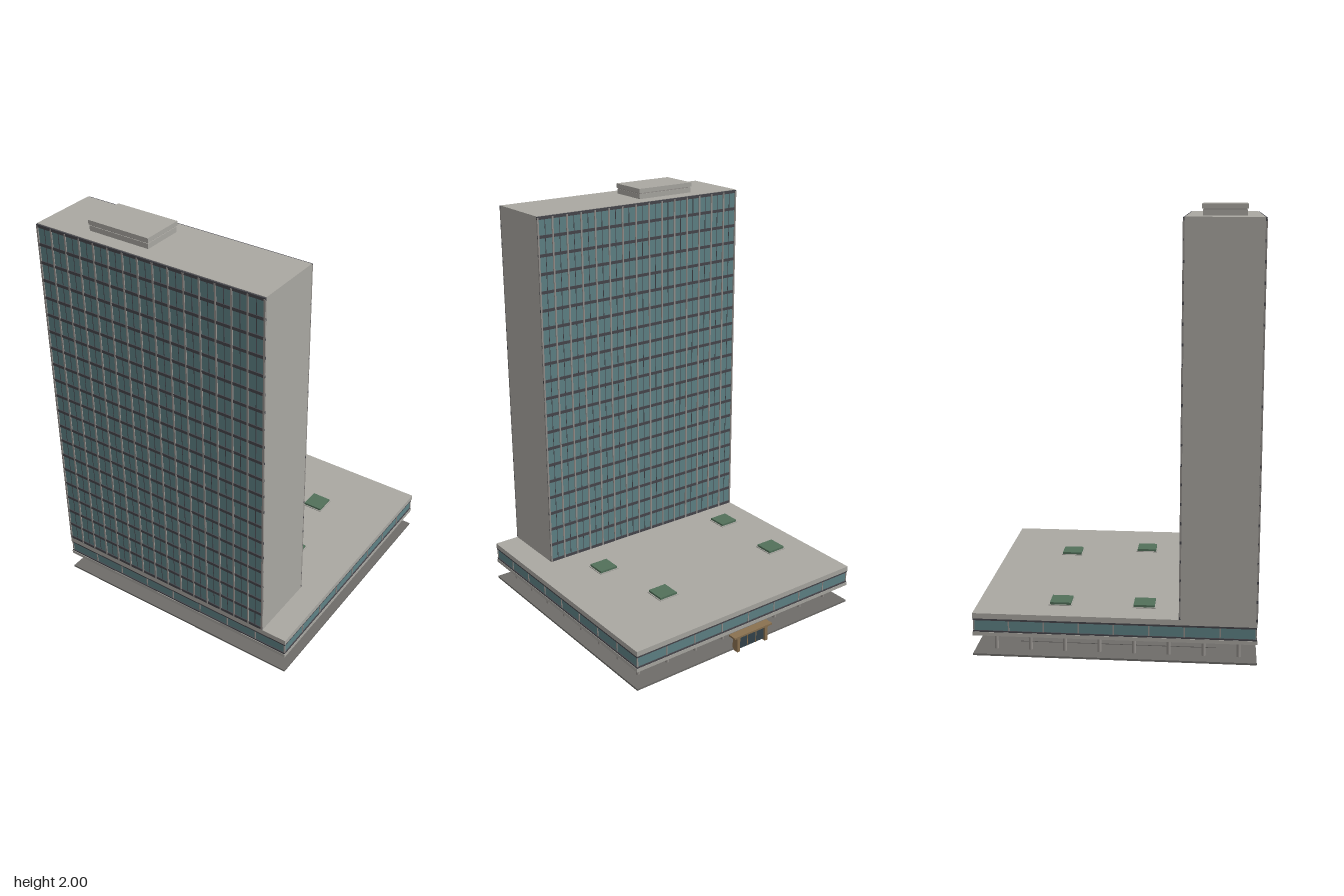
import * as THREE from 'three';

const mat = (color) => new THREE.MeshStandardMaterial({ color });

export function createModel() {
  const model = new THREE.Group();
  const concrete = mat(0xaaa8a2);
  const paving = mat(0x6e6c69);
  const glass = mat(0x5f8286);
  const frame = mat(0x46464c);
  const metal = mat(0x94908c);
  const wood = mat(0x8a7150);
  const darkGlass = mat(0x34434b);
  const green = mat(0x52705a);

  // Box given by its limits on each axis
  function box(parent, name, material, x0, x1, y0, y1, z0, z1) {
    const mesh = new THREE.Mesh(new THREE.BoxGeometry(x1 - x0, y1 - y0, z1 - z0), material);
    mesh.position.set((x0 + x1) / 2, (y0 + y1) / 2, (z0 + z1) / 2);
    mesh.name = name;
    parent.add(mesh);
    return mesh;
  }
  function group(name) {
    const g = new THREE.Group();
    g.name = name;
    model.add(g);
    return g;
  }

  const X = 0.645, ZB = -0.62, ZF = 0.65;

  // Ground plate and the inner floor
  box(model, 'groundPlate', paving, -X, X, 0, 0.009, ZB, ZF);
  box(model, 'innerFloor', paving, -0.49, 0.49, 0.009, 0.012, -0.43, 0.47);

  // Columns around the perimeter
  const columns = group('columns');
  const columnGeo = new THREE.CylinderGeometry(0.009, 0.009, 0.09, 12);
  const n = 8;
  for (let i = 0; i < n; i++) {
    for (let j = 0; j < n; j++) {
      if (i > 0 && i < n - 1 && j > 0 && j < n - 1) continue;
      const column = new THREE.Mesh(columnGeo, metal);
      column.name = 'column';
      column.position.set(-0.575 + (1.15 * i) / (n - 1), 0.053, -0.525 + (1.095 * j) / (n - 1));
      columns.add(column);
    }
  }

  // Podium: two slabs with a ribbon window between
  const podium = group('podium');
  box(podium, 'lowerSlab', concrete, -X, X, 0.095, 0.112, ZB, ZF);
  box(podium, 'roofSlab', concrete, -X, X, 0.175, 0.2, ZB, ZF);
  const inset = 0.006;
  box(podium, 'ribbonWindow', glass, -X + inset, X - inset, 0.112, 0.175, ZB + inset, ZF - inset);
  for (const [y0, y1] of [[0.112, 0.119], [0.166, 0.175]]) {
    box(podium, 'ribbonFrame', frame, -X + 0.002, X - 0.002, y0, y1, ZB + 0.002, ZF - 0.002);
  }
  for (let i = 0; i <= 8; i++) {
    const x = -X + 0.006 + ((2 * X - 0.012) * i) / 8;
    const z = ZB + 0.006 + ((ZF - ZB - 0.012) * i) / 8;
    for (const s of [ZB + 0.006, ZF - 0.006]) {
      box(podium, 'ribbonMullion', metal, x - 0.003, x + 0.003, 0.119, 0.166, s - 0.003, s + 0.003);
    }
    for (const s of [-X + 0.006, X - 0.006]) {
      box(podium, 'ribbonMullion', metal, s - 0.003, s + 0.003, 0.119, 0.166, z - 0.003, z + 0.003);
    }
  }

  // Tower core with blank end walls
  const tower = group('tower');
  const TL = -X, TR = 0.52, TY0 = 0.2, TY1 = 1.95;
  box(tower, 'towerBody', concrete, TL, TR, TY0, TY1, 0.312, 0.643);

  // Curtain walls on the front and back of the tower
  const floors = 20, bays = 15;
  for (const [wall, dir] of [[0.643, 1], [0.312, -1]]) {
    const facade = new THREE.Group();
    facade.name = dir > 0 ? 'frontCurtainWall' : 'backCurtainWall';
    facade.position.z = wall;
    tower.add(facade);
    const layer = (name, material, x0, x1, y0, y1, depth) =>
      box(facade, name, material, x0, x1, y0, y1, Math.min(0, dir * depth), Math.max(0, dir * depth));
    layer('glazing', glass, TL + 0.002, TR - 0.002, TY0, TY1 - 0.004, 0.003);
    for (let i = 0; i <= floors; i++) {
      const y = 0.207 + i * 0.0867;
      layer('spandrel', frame, TL, TR, y - 0.007, y + 0.007, 0.007);
    }
    for (let i = 0; i <= bays; i++) {
      const x = TL + 0.004 + ((TR - TL - 0.008) * i) / bays;
      layer('mullion', metal, x - 0.004, x + 0.004, TY0, TY1 - 0.006, 0.008);
      // Slim glazing bar in the middle of each bay
      if (i < bays) {
        const m = x + (TR - TL) / bays / 2;
        layer('glazingBar', frame, m - 0.0015, m + 0.0015, TY0, TY1 - 0.006, 0.004);
      }
    }
  }

  // Plant room on the tower roof
  const plant = group('plantRoom');
  box(plant, 'plantBase', concrete, -0.41, -0.1, 1.95, 1.974, 0.381, 0.574);
  box(plant, 'plantGap', metal, -0.407, -0.103, 1.974, 1.979, 0.384, 0.571);
  box(plant, 'plantCap', concrete, -0.413, -0.097, 1.979, 2.0, 0.378, 0.577);

  // Skylights on the podium roof
  const skylights = group('skylights');
  for (const [x, z] of [[-0.467, -0.24], [-0.467, 0.142], [0.255, -0.282], [0.34, 0.1]]) {
    box(skylights, 'skylightCurb', concrete, x - 0.053, x + 0.053, 0.2, 0.204, z - 0.053, z + 0.053);
    box(skylights, 'skylightPane', green, x - 0.048, x + 0.048, 0.204, 0.214, z - 0.048, z + 0.048);
  }

  // Entrance porch at the back
  const entrance = group('entrance');
  box(entrance, 'entranceWall', wood, -0.09, 0.09, 0.009, 0.078, -0.637, -0.615);
  box(entrance, 'entranceCanopy', wood, -0.115, 0.115, 0.077, 0.086, -0.655, -0.612);
  box(entrance, 'entranceDoor', darkGlass, -0.075, 0.075, 0.009, 0.07, -0.641, -0.637);
  for (const s of [-1, 1]) {
    box(entrance, 'entrancePost', wood, s * 0.085 - 0.008, s * 0.085 + 0.008, 0.0, 0.078, -0.65, -0.615);
    box(entrance, 'doorMullion', wood, s * 0.026 - 0.002, s * 0.026 + 0.002, 0.009, 0.07, -0.643, -0.637);
  }

  return model;
}
